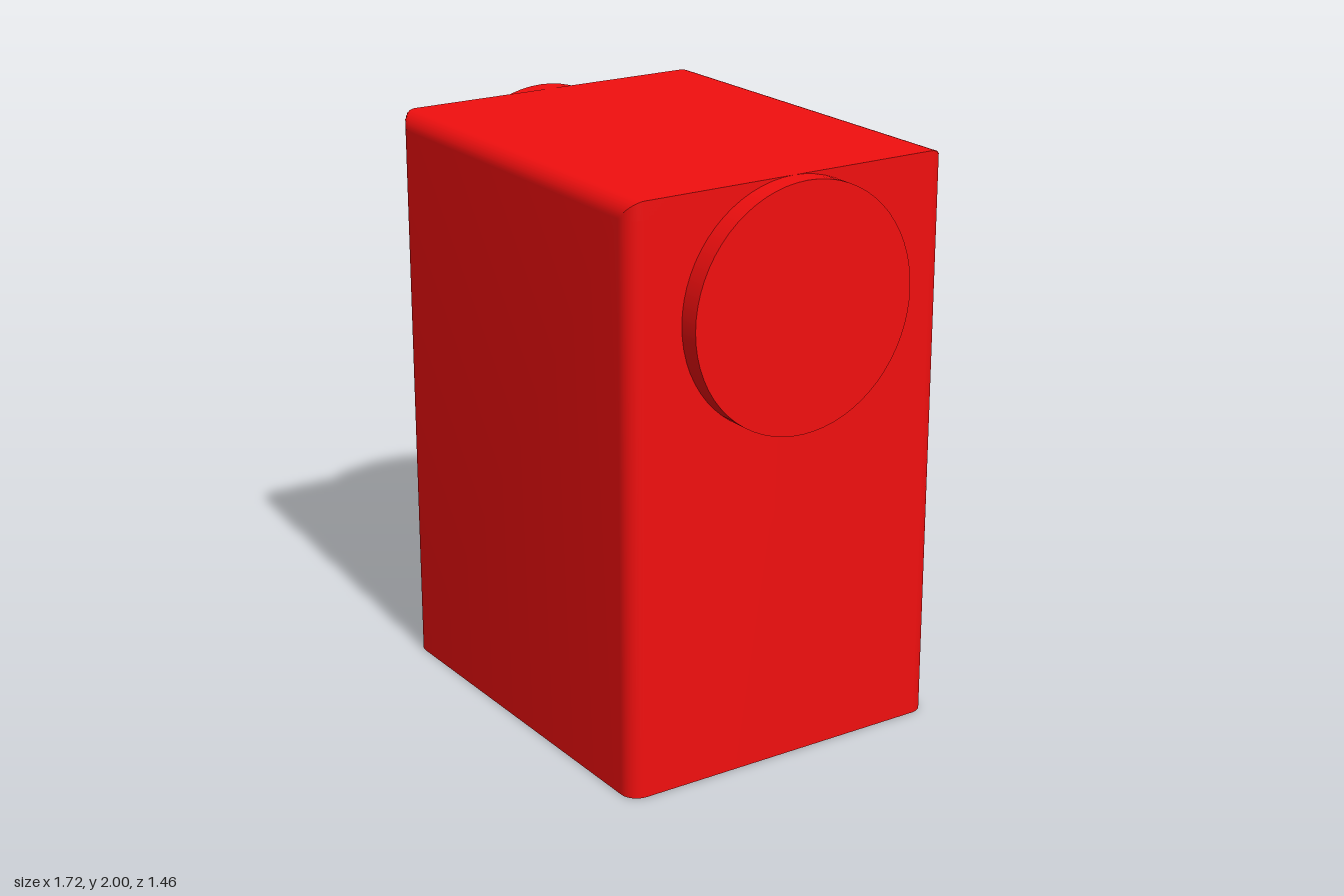
import * as THREE from 'three';
import { toCreasedNormals } from 'three/addons/utils/BufferGeometryUtils.js';

const W = 0.72, D = 0.61, H = 2, R = 0.06; // half width, half depth, height, fillet
const DISC_R = 0.417, DISC_OUT = 0.795, RECESS = 0.04, STEPS = 8;

// Rounded-rectangle outline, cut off at |z| <= limit
function outline(limit) {
  const points = [];
  for (let q = 0; q < 4; q++) {
    const sx = q === 0 || q === 3 ? 1 : -1, sz = q < 2 ? 1 : -1;
    for (let i = 0; i <= STEPS; i++) {
      const t = (q + i / STEPS) * Math.PI / 2;
      const z = sz * (D - R) + R * Math.sin(t);
      points.push(new THREE.Vector2(
        sx * (W - R) + R * Math.cos(t),
        THREE.MathUtils.clamp(z, -limit, limit)));
    }
  }
  return points;
}

// Upright walls, the rounded front and back top edges, and the flat top
function shellGeometry() {
  const rings = [{ y: 0, limit: D }];
  for (let i = 0; i <= STEPS; i++) {
    const t = i / STEPS * Math.PI / 2;
    rings.push({ y: H - R + R * Math.sin(t), limit: D - R + R * Math.cos(t) });
  }
  const positions = [], index = [];
  const n = 4 * (STEPS + 1);
  rings.forEach(({ y, limit }, r) => {
    outline(limit).forEach(p => positions.push(p.x, y, p.y));
    if (r === 0) return;
    for (let j = 0; j < n; j++) {
      const a = (r - 1) * n + j, b = (r - 1) * n + (j + 1) % n;
      index.push(a, a + n, b, b, a + n, b + n);
    }
  });
  const centre = positions.length / 3, last = (rings.length - 1) * n;
  positions.push(0, H, 0);
  for (let j = 0; j < n; j++) index.push(centre, last + (j + 1) % n, last + j);
  const geometry = new THREE.BufferGeometry();
  geometry.setAttribute('position', new THREE.Float32BufferAttribute(positions, 3));
  geometry.setIndex(index);
  return toCreasedNormals(geometry, Math.PI / 6);
}

export function createModel() {
  const model = new THREE.Group();
  model.name = 'roundedBlock';
  const red = new THREE.MeshStandardMaterial({ color: 0xf20f0f });
  const redInside = new THREE.MeshStandardMaterial({ color: 0xf20f0f, side: THREE.BackSide });
  const add = (name, geometry, material = red) => {
    const mesh = new THREE.Mesh(geometry, material);
    mesh.name = name;
    model.add(mesh);
    return mesh;
  };

  add('body', shellGeometry());

  // Underside with a shallow round recess
  const base = new THREE.Shape(outline(D));
  base.holes.push(new THREE.Path().absarc(0, 0, DISC_R, 0, Math.PI * 2, true));
  add('underside', new THREE.ShapeGeometry(base, 32).rotateX(Math.PI / 2));
  add('recessWall', new THREE.CylinderGeometry(DISC_R, DISC_R, RECESS, 64, 1, true)
    .translate(0, RECESS / 2, 0), redInside);
  add('recessCeiling', new THREE.CircleGeometry(DISC_R, 64)
    .rotateX(Math.PI / 2).translate(0, RECESS, 0));

  // Round discs on both sides, level with the top
  const thickness = DISC_OUT - W;
  for (const side of [1, -1]) {
    const disc = add(side > 0 ? 'leftDisc' : 'rightDisc',
      new THREE.CylinderGeometry(DISC_R, DISC_R, thickness, 64).rotateZ(Math.PI / 2));
    disc.position.set(side * (W + thickness / 2), H - DISC_R, 0);
  }

  // The whole block stands slightly turned
  model.rotation.y = -THREE.MathUtils.degToRad(11.2);
  return model;
}
